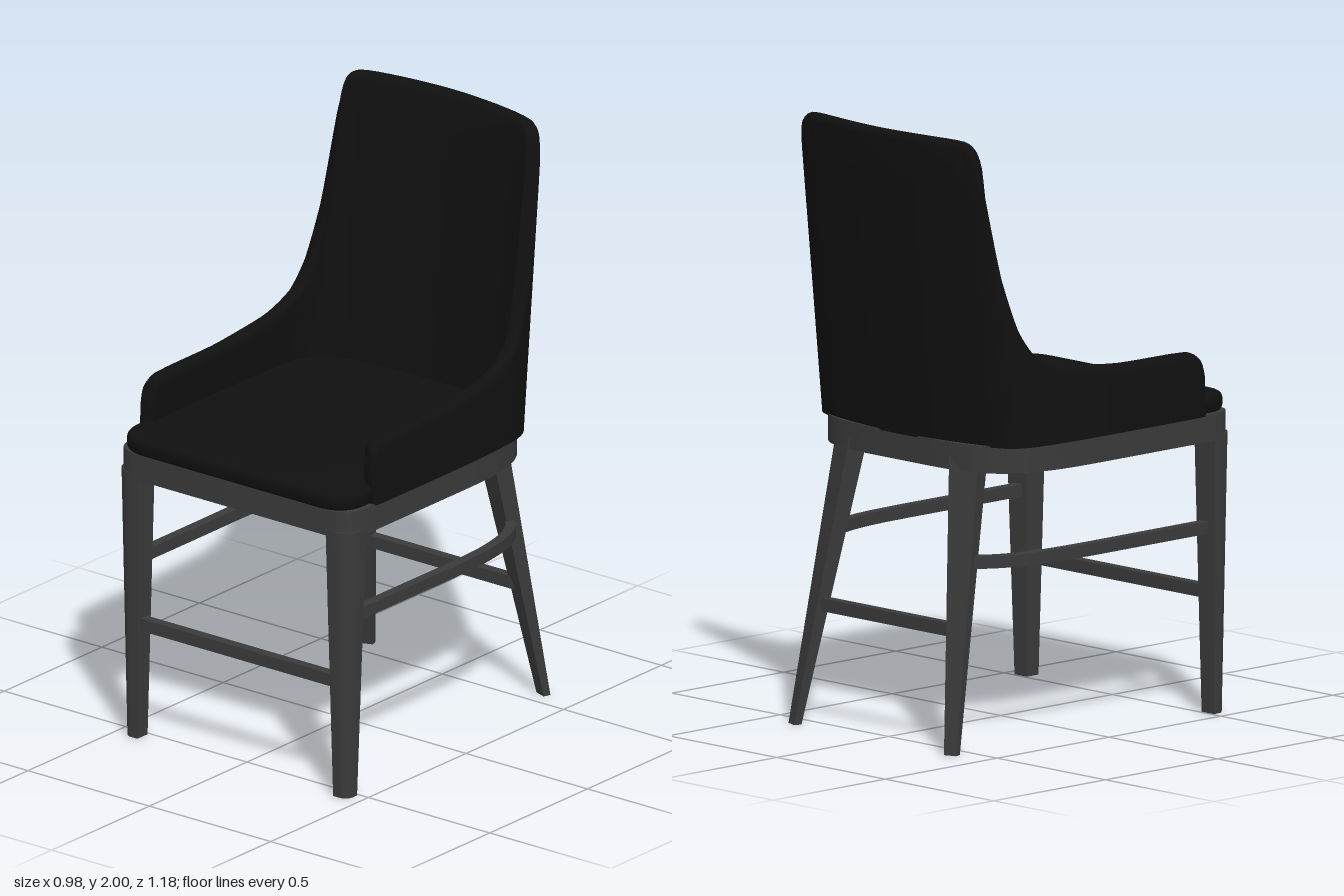
import * as THREE from 'three';
import { toCreasedNormals } from 'three/addons/utils/BufferGeometryUtils.js';

const V = (x, y, z) => new THREE.Vector3(x, y, z);
const wood = new THREE.MeshStandardMaterial({ color: 0x3a3a3a });
const fabric = new THREE.MeshStandardMaterial({ color: 0x101010 });

function part(name, geometry, material) {
  const mesh = new THREE.Mesh(geometry, material);
  mesh.name = name;
  return mesh;
}

// Skin a row of closed cross-sections and cap both ends, faces outward
function loft(rings, crease = 0.6) {
  const tris = [];
  const n = rings[0].length;
  for (let i = 0; i < rings.length - 1; i++) {
    for (let j = 0; j < n; j++) {
      const k = (j + 1) % n, a = rings[i], b = rings[i + 1];
      tris.push([a[j], a[k], b[k]], [a[j], b[k], b[j]]);
    }
  }
  [rings[0], rings[rings.length - 1]].forEach((ring, end) => {
    const c = ring.reduce((s, p) => s.add(p), V(0, 0, 0)).divideScalar(n);
    for (let j = 0; j < n; j++) {
      const k = (j + 1) % n;
      tris.push(end ? [c, ring[j], ring[k]] : [c, ring[k], ring[j]]);
    }
  });
  const volume = tris.reduce((s, [a, b, c]) => s + a.dot(b.clone().cross(c)), 0);
  const pts = tris.flatMap(t => (volume < 0 ? [t[0], t[2], t[1]] : t));
  return toCreasedNormals(new THREE.BufferGeometry().setFromPoints(pts), crease);
}

// Plan outline: square-ish front, rounded back; shape y is -z
function outline(w, front, back, r) {
  const half = new THREE.Path();
  half.moveTo(0, -front);
  half.lineTo(w - r, -front);
  half.quadraticCurveTo(w, -front, w, r - front);
  half.lineTo(w, 0.05);
  half.bezierCurveTo(w, 0.025 - back, w * 0.66, -back, 0, -back);
  const pts = half.getPoints(14);
  const mirrored = pts.slice(1, -1).reverse().map(p => new THREE.Vector2(-p.x, p.y));
  return [...pts, ...mirrored];
}

function slab(shape, y, options) {
  const g = new THREE.ExtrudeGeometry(shape, options);
  g.rotateX(-Math.PI / 2);
  g.translate(0, y, 0);
  return toCreasedNormals(g, 0.6);
}

// Upholstered wrap: outer surface at seat level [x, z], at full height [x, z], and edge height
function shellGeometry() {
  const half = [
    [0.48, 0.455, 0.44, 0.455, 1.13],
    [0.485, 0.44, 0.435, 0.44, 1.175],
    [0.487, 0.39, 0.435, 0.39, 1.2],
    [0.488, 0.1, 0.43, 0.1, 1.205],
    [0.486, -0.05, 0.425, -0.1, 1.22],
    [0.482, -0.16, 0.42, -0.25, 1.24],
    [0.476, -0.25, 0.42, -0.39, 1.29],
    [0.468, -0.305, 0.417, -0.435, 1.38],
    [0.455, -0.345, 0.417, -0.475, 1.56],
    [0.437, -0.375, 0.413, -0.5, 1.86],
    [0.405, -0.395, 0.395, -0.513, 1.965],
    [0.35, -0.415, 0.355, -0.527, 1.995],
    [0.2, -0.445, 0.2, -0.555, 2],
  ];
  const keys = [...half, [0, -0.46, 0, -0.57, 2],
    ...half.slice().reverse().map(([a, b, c, d, h]) => [-a, b, -c, d, h])];
  const low = new THREE.CatmullRomCurve3(keys.map(k => V(k[0], 0, k[1])));
  const high = new THREE.CatmullRomCurve3(keys.map(k => V(k[2], 0, k[3])));
  const edge = new THREE.CatmullRomCurve3(keys.map((k, i) => V(i * 0.1, k[4], 0)));
  const rings = [];
  const N = 104, bottom = 0.985, full = 0.025;
  for (let i = 0; i <= N; i++) {
    const t = i / N;
    const b = low.getPoint(t), a = high.getPoint(t), h = Math.min(2, edge.getPoint(t).y);
    const tan = low.getTangent(t);
    const normal = V(tan.z, 0, -tan.x);
    // thin the arm fronts slightly so they read as rounded
    const r = full * (i === 0 || i === N ? 0.65 : 1);
    const at = (y, d) => b.clone().lerp(a, y - 1).addScaledVector(normal, d).setY(y);
    const ring = [];
    for (let j = 0; j <= 8; j++) ring.push(at(bottom + (h - r - bottom) * j / 8, full - r));
    for (let j = 1; j < 8; j++) {
      const q = Math.PI * j / 8;
      ring.push(at(h - r + r * Math.sin(q), full - r * Math.cos(q)));
    }
    for (let j = 8; j >= 0; j--) ring.push(at(bottom + (h - r - bottom) * j / 8, full + r));
    rings.push(ring);
  }
  return loft(rings, 0.9);
}

// Front leg: tapered, with its outer corner rounded
function frontLeg(s) {
  const section = (y, x0, x1, z0, z1, r) => {
    const ring = [V(s * x0, y, z0), V(s * x1, y, z0)];
    for (let j = 0; j <= 6; j++) {
      const q = Math.PI / 2 * j / 6;
      ring.push(V(s * (x1 - r + r * Math.cos(q)), y, z1 - r + r * Math.sin(q)));
    }
    ring.push(V(s * x0, y, z1));
    return ring;
  };
  return loft([
    section(0, 0.403, 0.46, 0.508, 0.56, 0.03),
    section(0.92, 0.388, 0.484, 0.49, 0.58, 0.06),
  ]);
}

// Back leg: splayed, tapered, turned to follow the rounded corner
function backLeg(s) {
  const section = (y, cx, cz, w, d) =>
    [[-w, -d], [w, -d], [w, d], [-w, d]].map(([u, v]) => {
      const p = V(u, 0, v).applyAxisAngle(V(0, 1, 0), -0.35);
      return V(s * (cx + p.x), y, cz + p.z);
    });
  return loft([
    section(0, 0.362, -0.568, 0.022, 0.013),
    section(0.95, 0.267, -0.402, 0.053, 0.033),
  ]);
}

// Side rail: straight, then bending inward to the back leg
function sideRail(s) {
  const curve = new THREE.CatmullRomCurve3([
    V(0.43, 0, 0.53), V(0.43, 0, 0.25), V(0.43, 0, -0.05), V(0.422, 0, -0.2),
    V(0.395, 0, -0.33), V(0.355, 0, -0.41), V(0.305, 0, -0.455),
  ]);
  const rings = [];
  for (let i = 0; i <= 30; i++) {
    const p = curve.getPoint(i / 30), t = curve.getTangent(i / 30);
    rings.push([[-1, -1], [1, -1], [1, 1], [-1, 1]].map(([u, v]) =>
      V(s * (p.x + t.z * u * 0.017), 0.61 + v * 0.02, p.z - t.x * u * 0.017)));
  }
  return loft(rings);
}

export function createModel() {
  const chair = new THREE.Group();
  chair.name = 'chair';

  // Upholstery
  chair.add(part('wrapBack', shellGeometry(), fabric));
  const seat = new THREE.Shape(outline(0.452, 0.567, -0.4, 0.09));
  chair.add(part('seatCushion', slab(seat, 1.007, {
    depth: 0.02, bevelEnabled: true, bevelSize: 0.022, bevelThickness: 0.022, bevelSegments: 5,
  }), fabric));

  // Seat frame
  const frame = new THREE.Shape(outline(0.484, 0.58, -0.455, 0.09));
  frame.holes.push(new THREE.Path(outline(0.435, 0.535, -0.405, 0.05)));
  chair.add(part('seatFrame', slab(frame, 0.9, { depth: 0.09, bevelEnabled: false }), wood));

  // Legs and side rails
  for (const [s, side] of [[1, 'left'], [-1, 'right']]) {
    chair.add(part(side + 'FrontLeg', frontLeg(s), wood));
    chair.add(part(side + 'BackLeg', backLeg(s), wood));
    chair.add(part(side + 'SideRail', sideRail(s), wood));
  }

  // Cross rails
  for (const [name, length, z] of [['frontRail', 0.82, 0.535], ['backRail', 0.62, -0.5]]) {
    const rail = part(name, new THREE.BoxGeometry(length, 0.042, 0.034), wood);
    rail.position.set(0, 0.392, z);
    chair.add(rail);
  }
  return chair;
}
